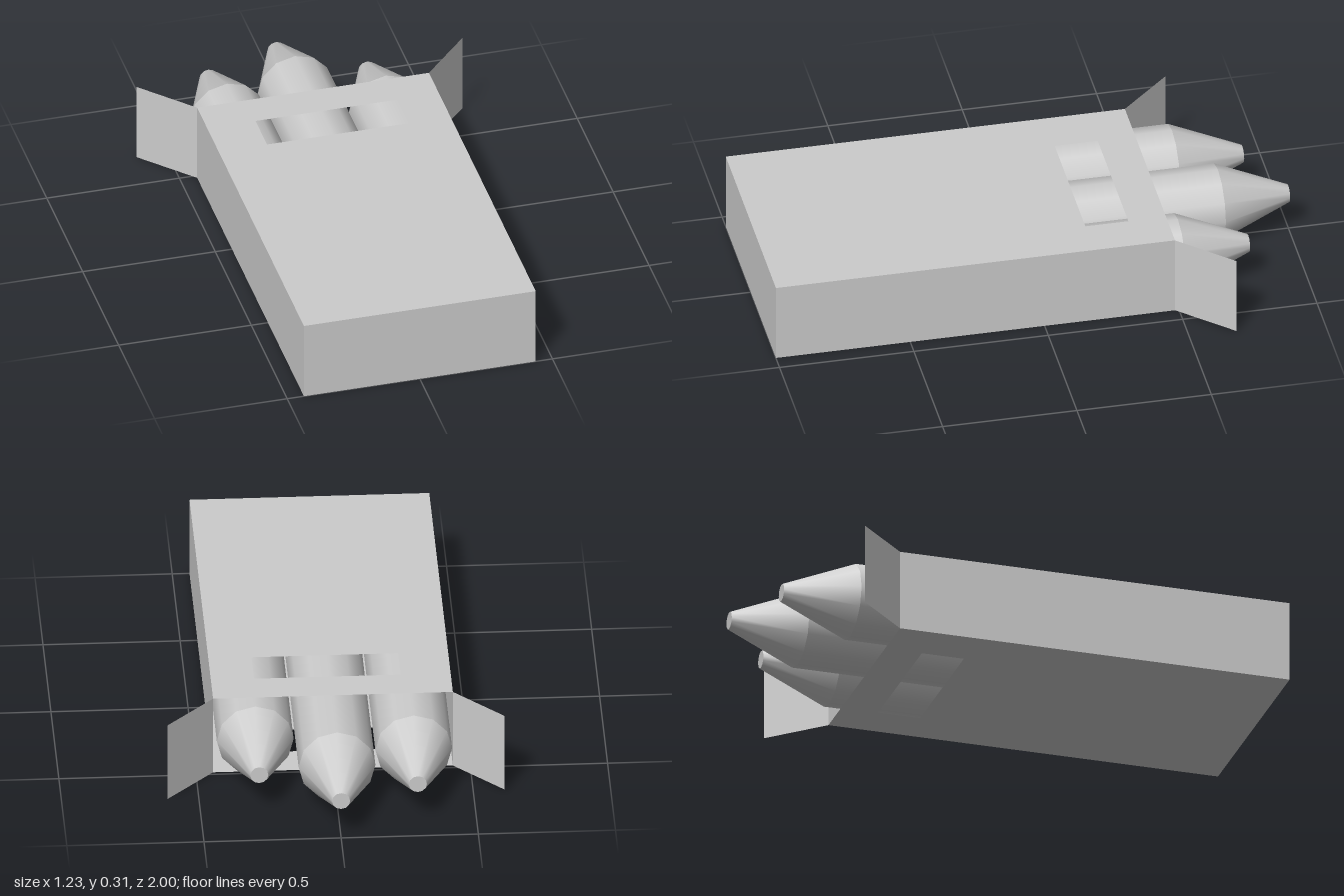
import * as THREE from 'three';

const W = 0.437, H = 0.307, BACK = -0.485, FRONT = 1; // carton half width, height, z range

export function createModel() {
  const group = new THREE.Group();
  const card = new THREE.MeshStandardMaterial({ color: 0xcccccc, side: THREE.DoubleSide });
  card.name = 'light grey';
  const add = (geometry, name, x = 0, y = 0, z = 0, parent = group) => {
    const mesh = new THREE.Mesh(geometry, card);
    mesh.name = name;
    mesh.position.set(x, y, z);
    parent.add(mesh);
    return mesh;
  };
  // Rectangle on the floor plan, wound either way
  const rect = (path, x0, x1, z0, z1) =>
    path.moveTo(x0, -z0).lineTo(x1, -z0).lineTo(x1, -z1).lineTo(x0, -z1).closePath();

  // Top and bottom panels, each with a window
  const panel = new THREE.Shape();
  rect(panel, -W, W, BACK, FRONT);
  const hole = new THREE.Path();
  rect(hole, -0.255, 0.28, -0.345, -0.185);
  panel.holes.push(hole);
  const sheet = new THREE.ShapeGeometry(panel).rotateX(-Math.PI / 2);
  add(sheet, 'topPanel', 0, H);
  add(sheet.clone().rotateZ(Math.PI).scale(-1, 1, 1), 'bottomPanel').geometry = (() => {
    // same panel facing down
    const g = new THREE.ShapeGeometry(panel).rotateX(-Math.PI / 2);
    const index = g.index.array;
    for (let i = 0; i < index.length; i += 3) [index[i], index[i + 1]] = [index[i + 1], index[i]];
    g.computeVertexNormals();
    return g;
  })();

  // Closed end of the carton
  add(new THREE.PlaneGeometry(2 * W, H), 'endPanel', 0, H / 2, FRONT);

  // Side walls and the flaps folded out at the open end
  const flapX = 0.178, flapZ = 0.19;
  for (const s of [1, -1]) {
    const side = s > 0 ? 'left' : 'right';
    add(new THREE.PlaneGeometry(FRONT - BACK, H).rotateY(s * Math.PI / 2),
      side + 'Wall', s * W, H / 2, (FRONT + BACK) / 2);
    add(new THREE.PlaneGeometry(Math.hypot(flapX, flapZ), H).rotateY(s * Math.atan2(flapZ, flapX)),
      side + 'Flap', s * (W + flapX / 2), H / 2, BACK - flapZ / 2);
  }

  // Three crayons: straight body and blunt cone, pointing to the back
  const R = 0.14, CONE = 0.262, BODY = 1.4, SIDES = 12;
  for (const [name, x, tip] of [['rightCrayon', -0.286, -0.89], ['middleCrayon', 0, -1], ['leftCrayon', 0.286, -0.79]]) {
    const crayon = new THREE.Group();
    crayon.name = name;
    crayon.position.set(x, H / 2, tip);
    group.add(crayon);
    const along = (g) => g.rotateX(-Math.PI / 2);
    add(along(new THREE.CylinderGeometry(0.033, R, CONE, SIDES, 1, true)), 'crayonCone', 0, 0, CONE / 2, crayon);
    add(new THREE.CircleGeometry(0.033, SIDES).rotateY(Math.PI), 'crayonTip', 0, 0, 0, crayon);
    add(along(new THREE.CylinderGeometry(R, R, BODY, SIDES, 1, true)), 'crayonBody', 0, 0, CONE + BODY / 2, crayon);
    add(new THREE.CircleGeometry(R, SIDES), 'crayonBase', 0, 0, CONE + BODY, crayon);
  }
  return group;
}
